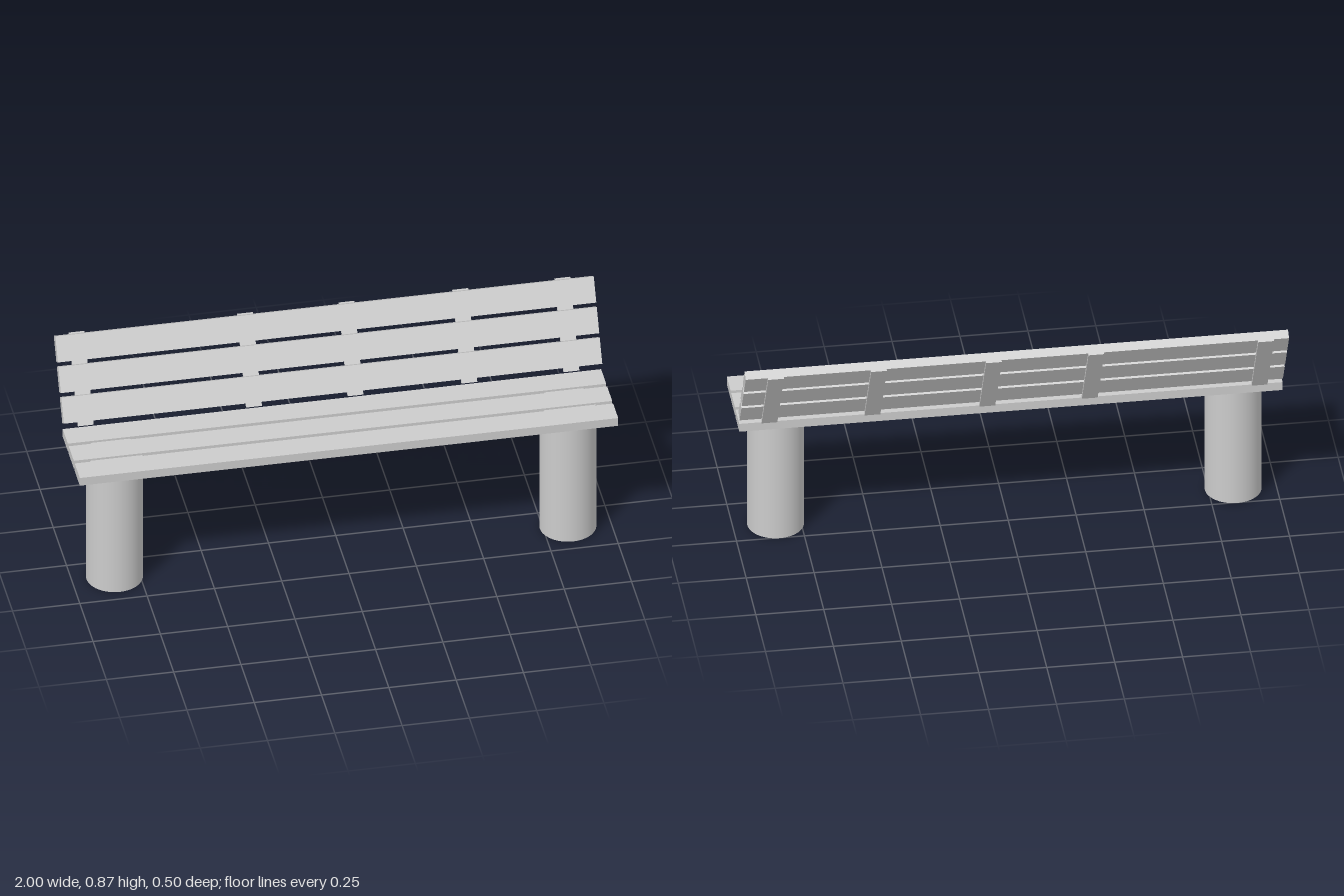
import * as THREE from 'three';

const material = new THREE.MeshStandardMaterial({ color: 0xcccccc });

function addMesh(parent, name, geometry, x, y, z) {
  const mesh = new THREE.Mesh(geometry, material);
  mesh.name = name;
  mesh.position.set(x, y, z);
  parent.add(mesh);
  return mesh;
}

export function createModel() {
  const bench = new THREE.Group();
  bench.name = 'bench';

  // Round legs, reaching up between the seat planks
  const legHeight = 0.546;
  const leg = new THREE.CylinderGeometry(0.104, 0.104, legHeight, 48);
  for (const [name, x] of [['rightLeg', -0.842], ['leftLeg', 0.842]]) {
    addMesh(bench, name, leg, x, legHeight / 2, 0.101);
  }

  // Three seat planks
  const seatPlank = new THREE.BoxGeometry(2, 0.034, 0.096);
  for (let i = 0; i < 3; i++) {
    addMesh(bench, 'seatPlank', seatPlank, 0, 0.537, 0.202 - i * 0.113);
  }

  // Backrest leaning back 30 degrees, hinged at the rear edge of the seat
  const backrest = new THREE.Group();
  backrest.name = 'backrest';
  backrest.position.set(0, 0.554, -0.08);
  backrest.rotation.x = -Math.PI / 6;
  bench.add(backrest);

  const backPlank = new THREE.BoxGeometry(2, 0.096, 0.035);
  for (let i = 0; i < 3; i++) {
    addMesh(backrest, 'backPlank', backPlank, 0, 0.066 + i * 0.1125, 0.0275);
  }

  // Thin straps behind the back planks
  const strap = new THREE.BoxGeometry(0.058, 0.344, 0.01);
  for (const x of [-0.914, -0.289, 0.088, 0.511, 0.89]) {
    addMesh(backrest, 'backStrap', strap, x, 0.172, 0.005);
  }

  return bench;
}
